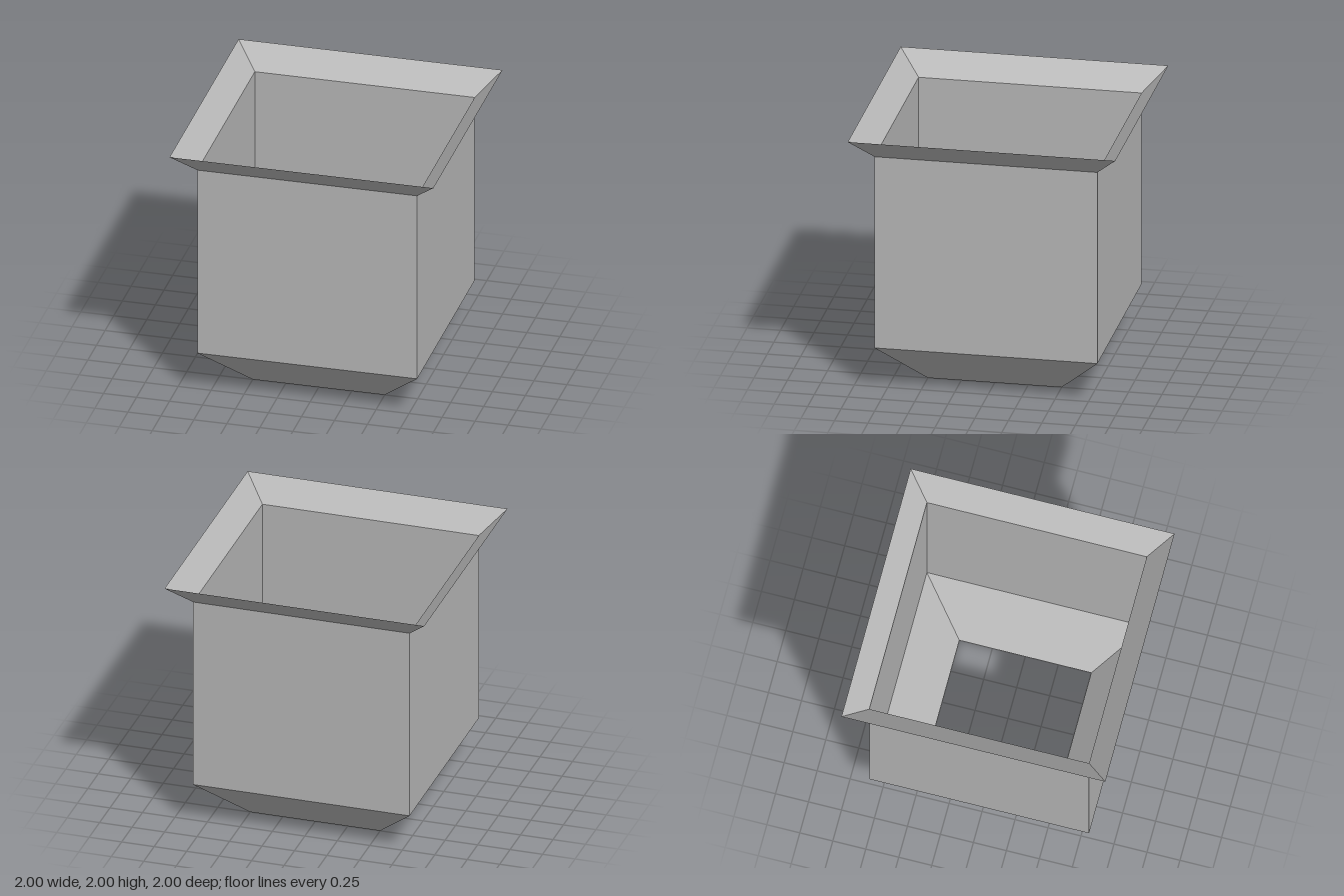
import * as THREE from 'three';

export function createModel() {
  const group = new THREE.Group();
  group.name = 'squareHopper';

  const grey = new THREE.MeshStandardMaterial({ color: 0xb8b8b8, side: THREE.DoubleSide });
  grey.name = 'grey';

  // Open four-sided sleeve between two square outlines, given by their half widths
  function addSleeve(name, bottomHalf, topHalf, y0, y1) {
    const geometry = new THREE.CylinderGeometry(
      topHalf * Math.SQRT2, bottomHalf * Math.SQRT2, y1 - y0, 4, 1, true, Math.PI / 4
    ).toNonIndexed();
    geometry.computeVertexNormals(); // one flat normal per face
    const mesh = new THREE.Mesh(geometry, grey);
    mesh.name = name;
    mesh.position.y = (y0 + y1) / 2;
    group.add(mesh);
  }

  addSleeve('taperedBase', 0.5, 0.833, 0, 0.335);
  addSleeve('straightWalls', 0.833, 0.833, 0.335, 1.835);
  addSleeve('flaredRim', 0.833, 1, 1.835, 2);

  return group;
}
